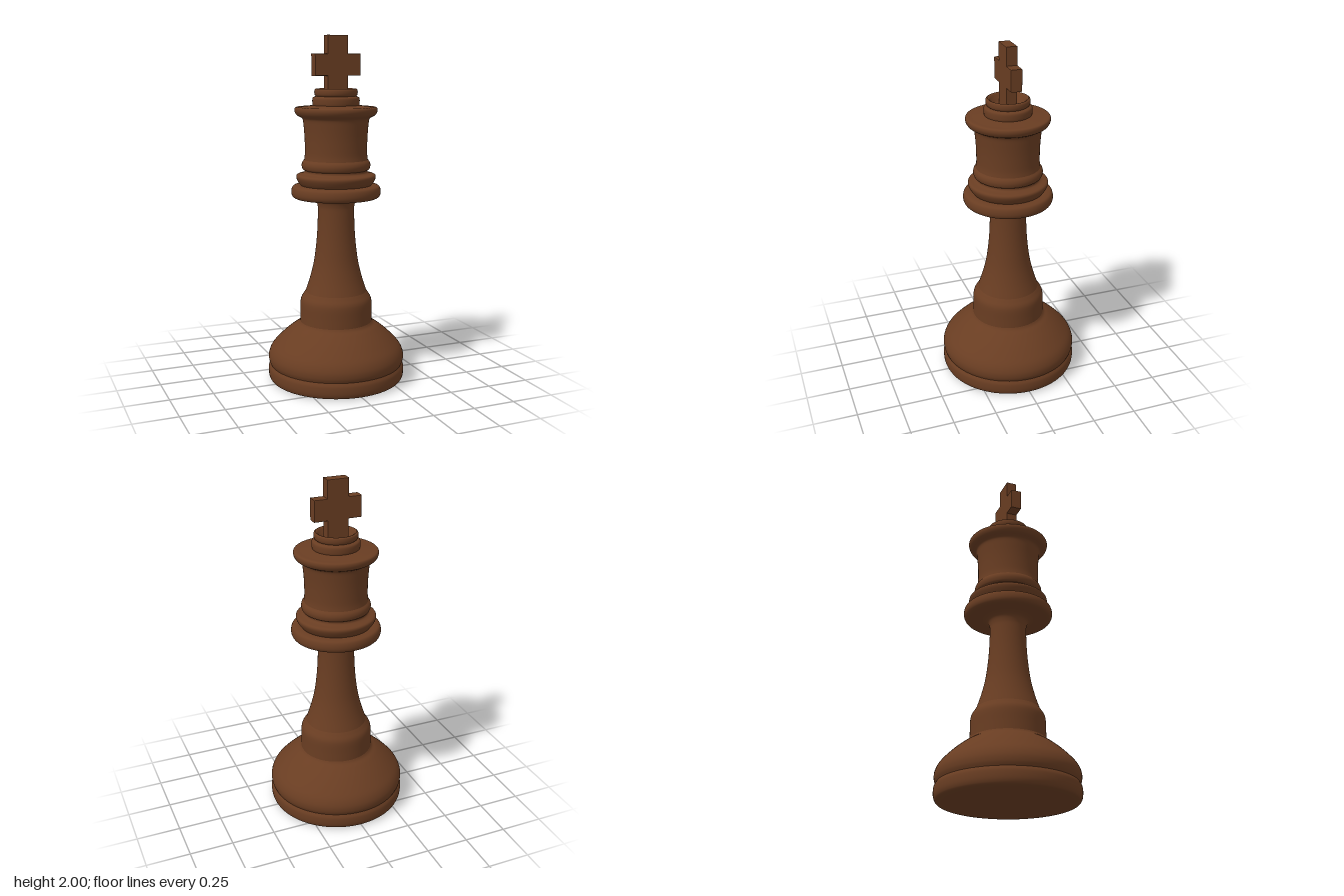
import * as THREE from 'three';

const wood = new THREE.MeshStandardMaterial({ color: 0x693d22 });
wood.name = 'brownWood';

// Smooth turned section; neighbouring sections meet in a crisp edge
function turned(name, points, smooth = true) {
  const pts = points.map(([r, y]) => new THREE.Vector2(r, y));
  const profile = smooth ? new THREE.SplineCurve(pts).getPoints(points.length * 5) : pts;
  profile.forEach(p => { p.x = Math.max(p.x, 0); });
  const mesh = new THREE.Mesh(new THREE.LatheGeometry(profile, 80), wood);
  mesh.name = name;
  return mesh;
}

// Cross outline with lightly bevelled edges
function cross() {
  const b = 0.004;
  const stem = 0.062 - b, arm = 0.138 - b;
  const low = 1.775 + b, high = 1.897 - b, top = 2 - b, foot = 1.63;
  const half = [[stem, foot], [stem, low], [arm, low], [arm, high], [stem, high], [stem, top]];
  const outline = [...half, ...half.map(([x, y]) => [-x, y]).reverse()];
  const shape = new THREE.Shape(outline.map(([x, y]) => new THREE.Vector2(x, y)));
  const depth = 0.064 - 2 * b;
  const geo = new THREE.ExtrudeGeometry(shape, {
    depth, bevelEnabled: true, bevelSize: b, bevelThickness: b, bevelSegments: 2,
  });
  geo.translate(0, 0, -depth / 2);
  const mesh = new THREE.Mesh(geo, wood);
  mesh.name = 'cross';
  return mesh;
}

export function createModel() {
  const model = new THREE.Group();
  model.name = 'chessPiece';
  model.add(
    // Foot
    turned('underside', [[0, 0.003], [0.36, 0.003]], false),
    turned('footRing', [[0.36, 0.003], [0.385, 0.008], [0.396, 0.025], [0.4, 0.05], [0.398, 0.08], [0.388, 0.1]]),
    turned('baseDome', [[0.388, 0.1], [0.397, 0.125], [0.396, 0.16], [0.378, 0.2], [0.34, 0.243],
      [0.295, 0.285], [0.25, 0.32], [0.222, 0.338], [0.211, 0.352]]),
    turned('lowerDrum', [[0.211, 0.352], [0.21, 0.4], [0.209, 0.46], [0.203, 0.49], [0.188, 0.515], [0.178, 0.53]]),
    // Waist
    turned('stem', [[0.178, 0.53], [0.152, 0.61], [0.13, 0.7], [0.116, 0.8], [0.108, 0.9],
      [0.105, 1.0], [0.107, 1.04], [0.118, 1.068], [0.145, 1.083]]),
    // Collars
    turned('collar', [[0.145, 1.083], [0.22, 1.082], [0.245, 1.087], [0.256, 1.105], [0.256, 1.13],
      [0.247, 1.149], [0.225, 1.156], [0.205, 1.157]]),
    turned('flaredRing', [[0.205, 1.157], [0.216, 1.172], [0.226, 1.192], [0.228, 1.207], [0.22, 1.217],
      [0.195, 1.223], [0.183, 1.23], [0.181, 1.242]]),
    turned('bead', [[0.181, 1.242], [0.192, 1.25], [0.197, 1.27], [0.193, 1.288], [0.182, 1.302]]),
    // Head
    turned('head', [[0.182, 1.302], [0.178, 1.34], [0.179, 1.42], [0.184, 1.49], [0.19, 1.532], [0.205, 1.545]]),
    turned('headRim', [[0.205, 1.545], [0.224, 1.556], [0.235, 1.575], [0.235, 1.592], [0.226, 1.6], [0.2, 1.602]]),
    turned('headTop', [[0.2, 1.602], [0.131, 1.61]], false),
    turned('crownStep', [[0.131, 1.608], [0.134, 1.622], [0.134, 1.645], [0.128, 1.656], [0.113, 1.661]]),
    // Finial with a shallow bowl on top
    turned('finialRing', [[0.113, 1.661], [0.12, 1.668], [0.123, 1.682], [0.121, 1.697], [0.113, 1.703]]),
    turned('finialBowl', [[0.113, 1.703], [0.103, 1.698], [0.09, 1.68], [0.072, 1.66], [0.04, 1.648], [0, 1.645]]),
    cross(),
  );
  return model;
}
